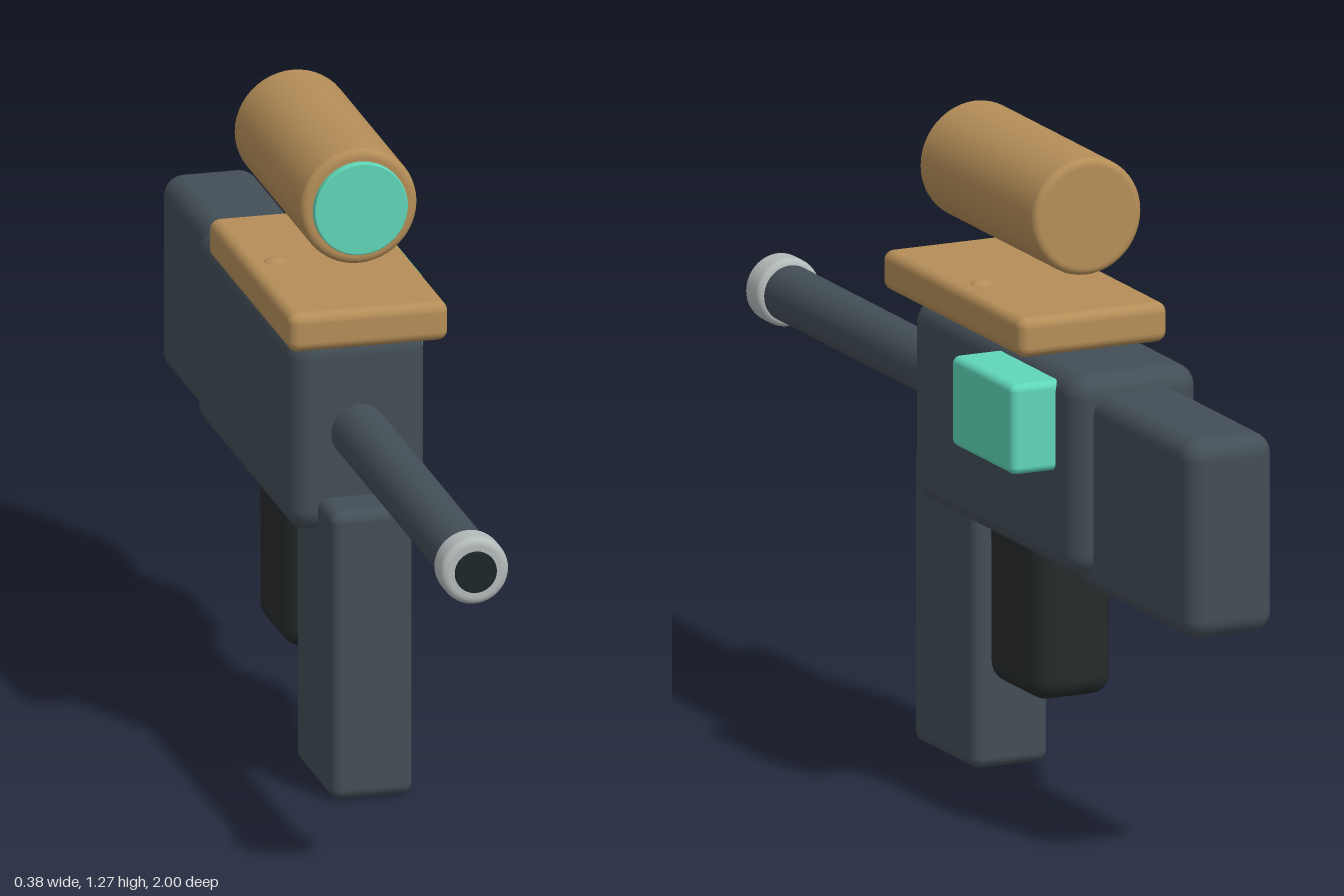
import * as THREE from 'three';
import { RoundedBoxGeometry } from 'three/addons/geometries/RoundedBoxGeometry.js';

const CX = -0.037; // centre line of the gun

const mat = (color) => new THREE.MeshStandardMaterial({ color });
const steel = mat(0x434e56);
const rubber = mat(0x262a2b);
const tan = mat(0xb58e58);
const teal = mat(0x5fd6b8);
const silver = mat(0xb4bbbb);
const black = mat(0x1c2729);

export function createModel() {
  const model = new THREE.Group();

  function add(name, geometry, material) {
    const mesh = new THREE.Mesh(geometry, material);
    mesh.name = name;
    model.add(mesh);
    return mesh;
  }

  // Rounded box given by its extents
  function block(name, [x0, x1], [y0, y1], [z0, z1], radius, material) {
    const geo = new RoundedBoxGeometry(x1 - x0, y1 - y0, z1 - z0, 4, radius);
    geo.translate((x0 + x1) / 2, (y0 + y1) / 2, (z0 + z1) / 2);
    return add(name, geo, material);
  }

  // Cylinder along z with rounded rims
  function rod(name, y, radius, z0, z1, bevel, material) {
    const pts = [new THREE.Vector2(0, z0), new THREE.Vector2(radius - bevel - 0.001, z0)];
    for (const [z, start] of [[z0 + bevel, -Math.PI / 2], [z1 - bevel, 0]]) {
      for (let i = 0; i <= 5; i++) {
        const a = start + (i / 5) * Math.PI / 2;
        pts.push(new THREE.Vector2(radius - bevel + bevel * Math.cos(a), z + bevel * Math.sin(a)));
      }
    }
    pts.push(new THREE.Vector2(radius - bevel - 0.001, z1), new THREE.Vector2(0, z1));
    const geo = new THREE.LatheGeometry(pts, 48);
    geo.rotateX(Math.PI / 2);
    geo.translate(CX, y, 0);
    return add(name, geo, material);
  }

  // Main body, stock and lower parts
  block('body', [-0.172, 0.098], [0.505, 0.9], [-0.585, 0.133], 0.045, steel);
  block('stock', [-0.13, 0.056], [0.473, 0.865], [-1, -0.5], 0.04, steel);
  block('magazine', [-0.118, 0.044], [0, 0.577], [-0.035, 0.232], 0.022, steel);
  block('grip', [-0.122, 0.048], [0.195, 0.6], [-0.315, -0.093], 0.04, rubber);
  block('triggerGuard', [-0.08, 0.006], [0.42, 0.53], [-0.13, 0.01], 0.03, steel);

  // Barrel, muzzle ring and bore
  rod('barrel', 0.705, 0.055, 0.05, 0.95, 0.004, steel);
  rod('muzzle', 0.705, 0.067, 0.93, 0.995, 0.014, silver);
  rod('bore', 0.705, 0.041, 0.96, 1, 0.002, black);

  // Top rail with two screws
  block('rail', [-0.195, 0.119], [0.898, 0.976], [-0.395, 0.213], 0.02, tan);
  for (const side of [-1, 1]) {
    const screw = add('screw', new THREE.SphereGeometry(1, 24, 12), tan);
    screw.scale.set(0.024, 0.012, 0.02);
    screw.position.set(CX + side * 0.1, 0.972, -0.11);
  }

  // Scope above the rail
  rod('scope', 1.155, 0.115, -0.37, 0.135, 0.014, tan);
  rod('lens', 1.155, 0.092, 0.1, 0.149, 0.003, teal);

  // Power cell on the left side
  block('powerCell', [0.06, 0.19], [0.703, 0.88], [-0.505, -0.237], 0.015, teal);

  return model;
}
